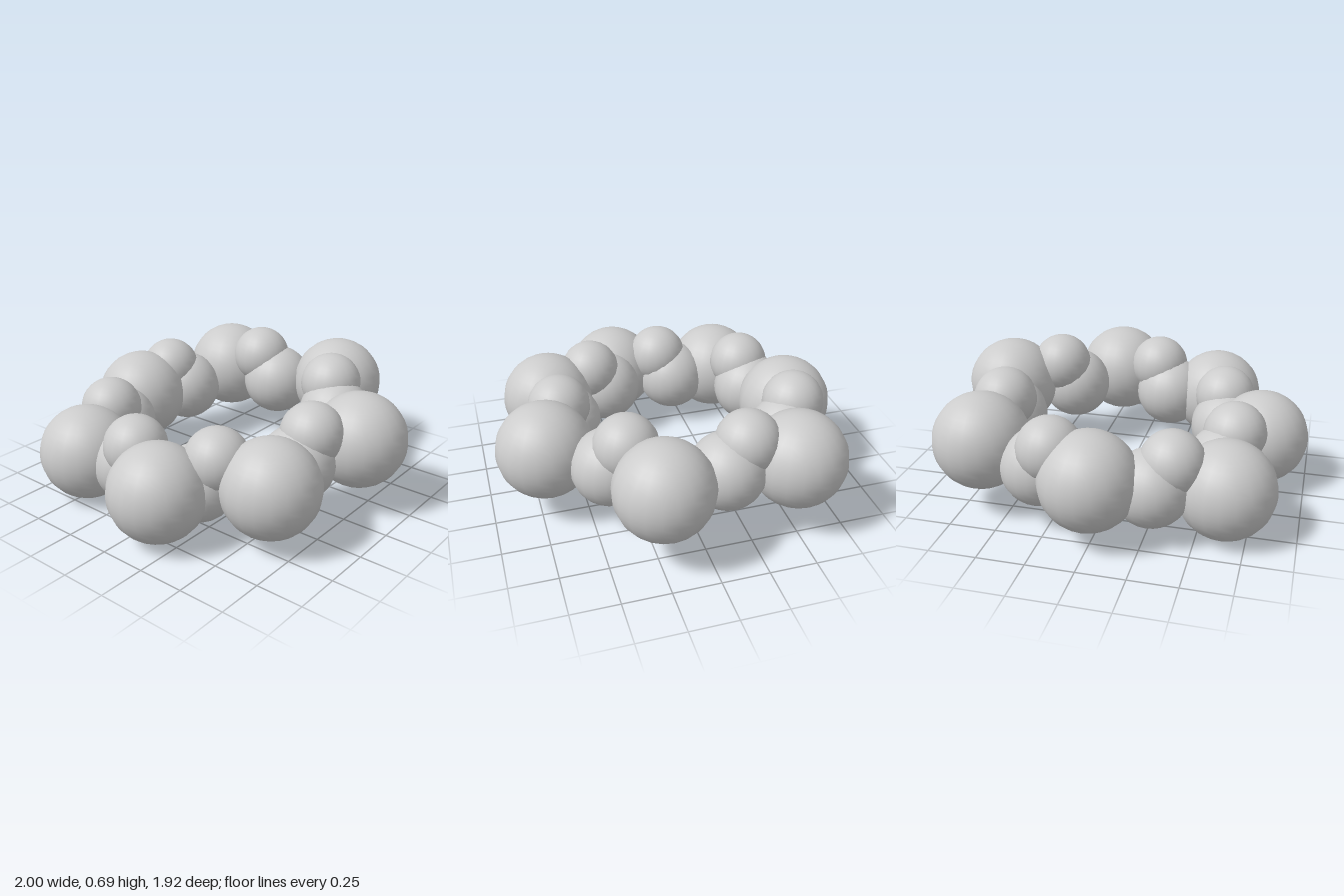
import * as THREE from 'three';

// Ball centres [x, y, z], in order around the ring
const rings = {
  largeBall: {
    radius: 0.256,
    centres: [
      [0.01, 0.335, -0.71], [0.64, 0.39, -0.52], [0.74, 0.42, 0.215], [0.19, 0.38, 0.7],
      [-0.43, 0.315, 0.585], [-0.745, 0.27, 0.13], [-0.635, 0.256, -0.495],
    ],
  },
  linkBall: {
    radius: 0.203,
    centres: [
      [0.295, 0.325, -0.605], [0.625, 0.38, -0.145], [0.415, 0.37, 0.407], [-0.15, 0.32, 0.54],
      [-0.54, 0.27, 0.22], [-0.585, 0.255, -0.21], [-0.28, 0.28, -0.605],
    ],
  },
  smallBall: {
    radius: 0.168,
    centres: [
      [0.22, 0.46, -0.665], [0.605, 0.52, -0.255], [0.475, 0.52, 0.335], [-0.07, 0.47, 0.575],
      [-0.51, 0.415, 0.315], [-0.625, 0.395, -0.13], [-0.375, 0.41, -0.57],
    ],
  },
};

export function createModel() {
  const model = new THREE.Group();
  model.name = 'ballRing';
  const material = new THREE.MeshStandardMaterial({ color: 0xcccccc });

  // One shared sphere per size, placed around the slightly tilted ring
  for (const [name, { radius, centres }] of Object.entries(rings)) {
    const geometry = new THREE.SphereGeometry(radius, 20, 20);
    centres.forEach((centre, i) => {
      const ball = new THREE.Mesh(geometry, material);
      ball.name = `${name}${i + 1}`;
      ball.position.set(...centre);
      model.add(ball);
    });
  }
  return model;
}
